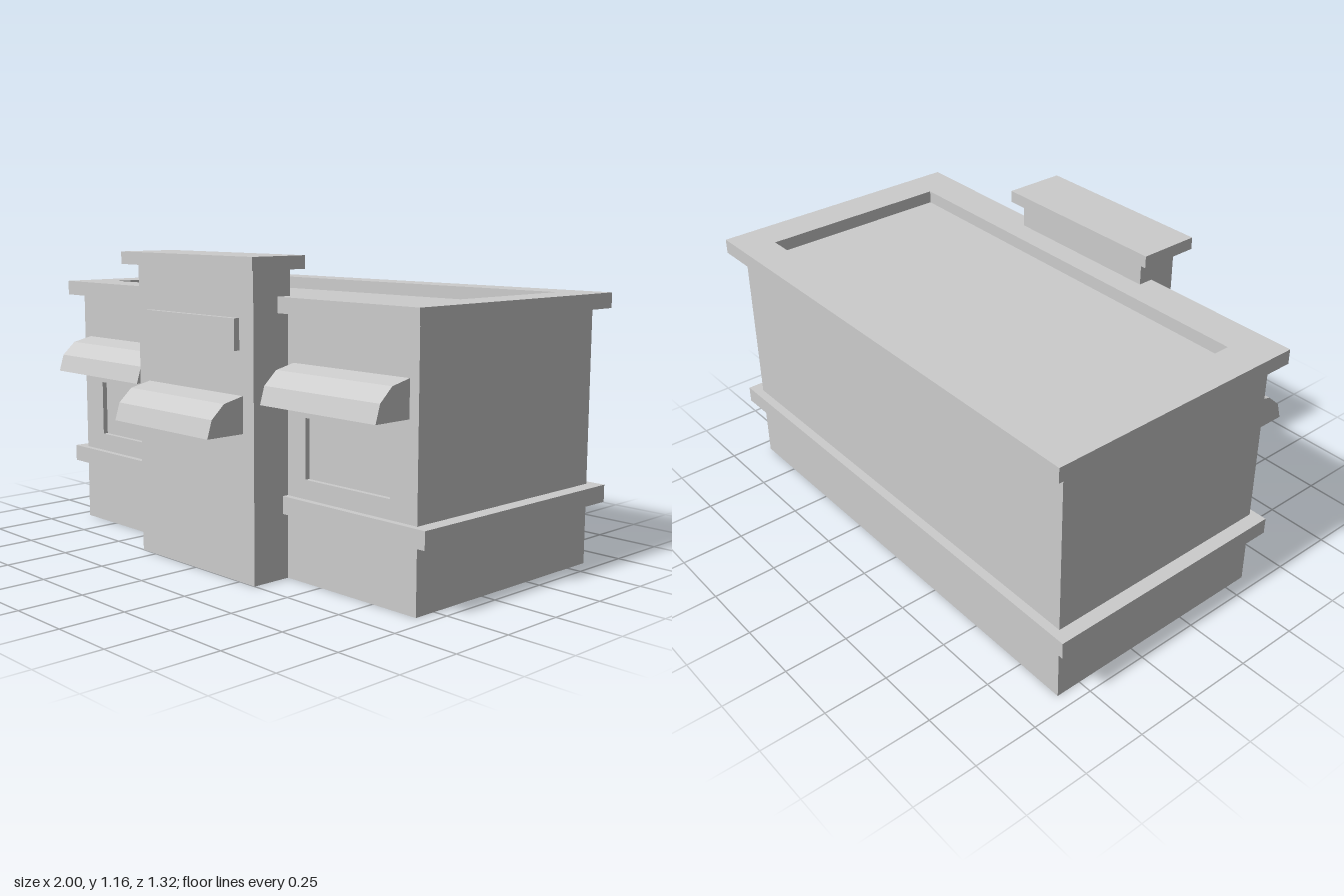
import * as THREE from 'three';

const mat = new THREE.MeshStandardMaterial({ color: 0xcccccc, flatShading: true });

export function createModel() {
  const group = new THREE.Group();
  group.name = 'storefront';

  const add = (name, geometry) => {
    const mesh = new THREE.Mesh(geometry, mat);
    mesh.name = name;
    group.add(mesh);
    return mesh;
  };

  // Box given by its minimum and maximum on each axis
  const block = (name, x0, x1, y0, y1, z0, z1) =>
    add(name, new THREE.BoxGeometry(x1 - x0, y1 - y0, z1 - z0))
      .position.set((x0 + x1) / 2, (y0 + y1) / 2, (z0 + z1) / 2);

  const rect = (C, x0, x1, y0, y1) => new C([
    new THREE.Vector2(x0, y0), new THREE.Vector2(x1, y0),
    new THREE.Vector2(x1, y1), new THREE.Vector2(x0, y1),
  ]);

  // Main hall, with a front wall pierced by two recessed windows
  block('mainHall', -0.945, 0.945, 0, 0.965, -0.6, 0.32);
  const wall = rect(THREE.Shape, -0.945, 0.945, 0, 0.965);
  for (const s of [-1, 1]) wall.holes.push(rect(THREE.Path, s * 0.42, s * 0.825, 0.375, 0.595));
  add('frontWall', new THREE.ExtrudeGeometry(wall, { depth: 0.02, bevelEnabled: false }))
    .position.z = 0.32;

  // Belt course around the hall
  block('beltCourse', -1, 1, 0.24, 0.305, -0.635, 0.365);

  // Roof rim around the sunken flat roof
  const rim = rect(THREE.Shape, -0.988, 0.988, -0.39, 0.657);
  rim.holes.push(rect(THREE.Path, -0.842, 0.842, -0.24, 0.52));
  const roofRim = add('roofRim', new THREE.ExtrudeGeometry(rim, { depth: 0.057, bevelEnabled: false }));
  roofRim.rotation.x = -Math.PI / 2;
  roofRim.position.y = 0.958;

  // Entrance tower with its cap and sign board
  block('entranceTower', -0.33, 0.33, 0, 1.11, 0.33, 0.5);
  block('towerCap', -0.377, 0.377, 1.11, 1.157, 0.303, 0.545);
  block('signBoard', -0.255, 0.255, 0.83, 0.943, 0.5, 0.523);

  // Faceted awnings: profile in (depth from wall, height), extruded along x
  const profile = [[0, 0], [0.16, 0], [0.14, 0.065], [0.085, 0.115], [0, 0.134]];
  const awning = (name, x, y, z, width) => {
    const shape = new THREE.Shape(profile.map(([d, h]) => new THREE.Vector2(d, h)));
    const geometry = new THREE.ExtrudeGeometry(shape, { depth: width, bevelEnabled: false });
    geometry.translate(0, 0, -width / 2).rotateY(-Math.PI / 2);
    add(name, geometry).position.set(x, y, z);
  };
  awning('doorAwning', 0, 0.538, 0.5, 0.544);
  awning('leftWindowAwning', 0.632, 0.65, 0.337, 0.546);
  awning('rightWindowAwning', -0.632, 0.65, 0.337, 0.546);

  return group;
}
